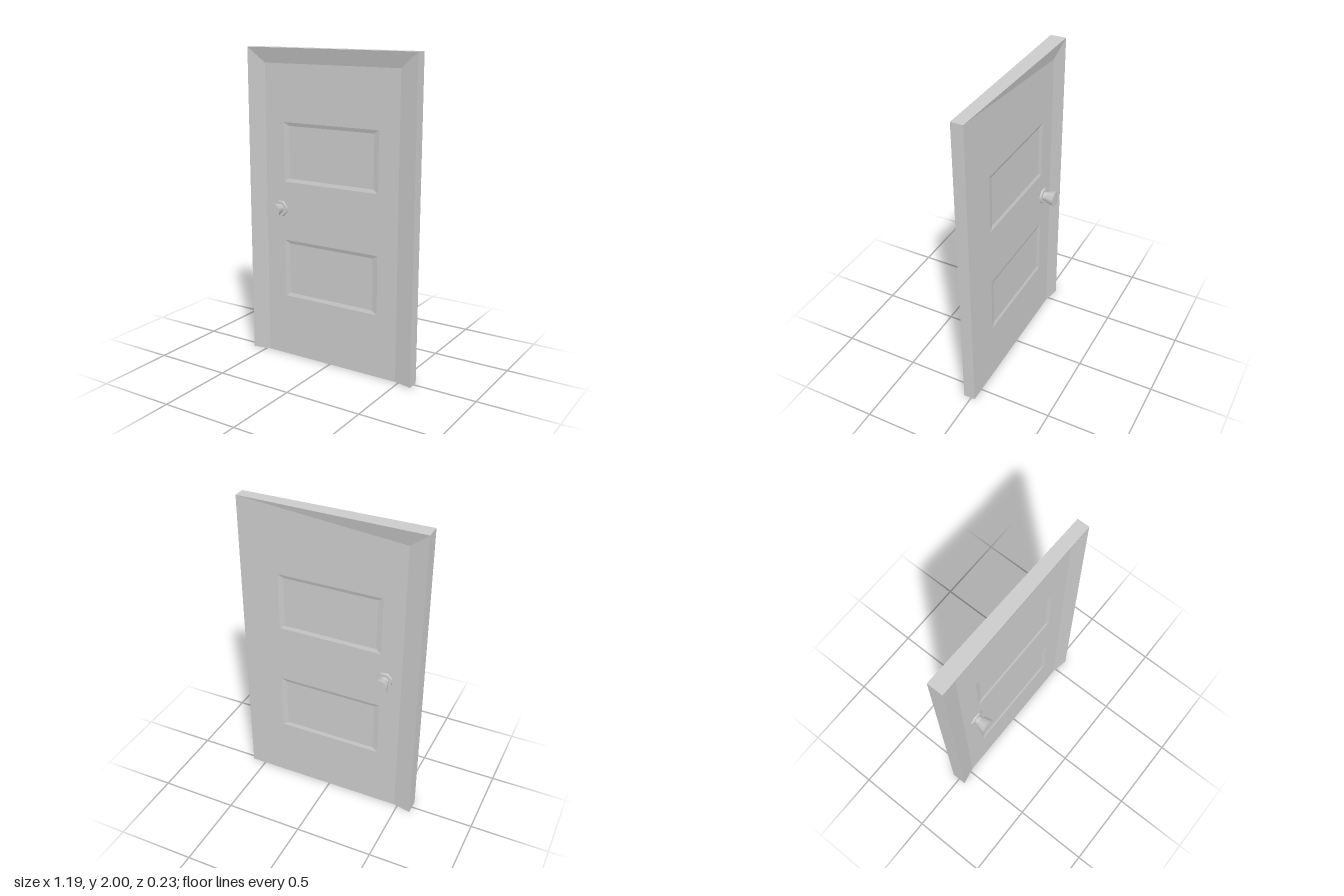
import * as THREE from 'three';

const W = 0.593, H = 2;            // half width and height of the door
const RIM = 0.05, FACE = 0.026;    // depth of the raised rim and of the recessed face
const BEVEL_X = 0.477, BEVEL_Y = 1.905;
const PANEL = { x: 0.34, h: 0.378, inX: 0.035, inY: 0.022, depth: 0.007, bottoms: [0.407, 1.167] };

const mat = new THREE.MeshStandardMaterial({ color: 0xcccccc });
const polygon = pts => new THREE.Shape(pts.map(p => new THREE.Vector2(p[0], p[1])));

function add(parent, name, geometry) {
  const mesh = new THREE.Mesh(geometry, mat);
  mesh.name = name;
  parent.add(mesh);
  return mesh;
}

// Flat-shaded quads, corners counter-clockwise seen from outside
function quads(list) {
  const pos = [];
  for (const [a, b, c, d] of list) pos.push(...a, ...b, ...c, ...a, ...c, ...d);
  const g = new THREE.BufferGeometry();
  g.setAttribute('position', new THREE.Float32BufferAttribute(pos, 3));
  g.computeVertexNormals();
  return g;
}

const rect = (x, y0, y1, z) => [[-x, y0, z], [x, y0, z], [x, y1, z], [-x, y1, z]];

// One face of the door, facing +z; the left rim may run flush into the face
function doorFace(name, flushLeft) {
  const face = new THREE.Group();
  face.name = name;
  const [ax, ay, az] = flushLeft ? [-W, H, FACE] : [-BEVEL_X, BEVEL_Y, RIM];

  // Recessed surface with two panel openings
  const shape = polygon([[ax, 0], [BEVEL_X, 0], [BEVEL_X, BEVEL_Y], [ax, ay]]);
  if (flushLeft) shape.autoClose = true;
  const { x, h, inX, inY, depth, bottoms } = PANEL;
  for (const y of bottoms) shape.holes.push(polygon(rect(x, y, y + h, 0).reverse()));
  add(face, 'faceSurface', new THREE.ShapeGeometry(shape).translate(0, 0, FACE));

  // Sloping rim along the top and sides
  const a = [ax, ay, FACE], b = [BEVEL_X, BEVEL_Y, FACE];
  const topL = [-W, H, az], topR = [W, H, RIM];
  const rim = [
    [b, topR, topL, a],
    [[BEVEL_X, 0, FACE], [W, 0, RIM], topR, b],
  ];
  if (!flushLeft) rim.push([[-W, 0, RIM], [ax, 0, FACE], a, topL]);
  add(face, 'bevelledRim', quads(rim));

  // Sunken panels with sloping borders
  for (const y of bottoms) {
    const o = rect(x, y, y + h, FACE);
    const i = rect(x - inX, y + inY, y + h - inY, FACE - depth);
    const list = o.map((p, k) => [p, o[(k + 1) % 4], i[(k + 1) % 4], i[k]]);
    add(face, 'sunkenPanel', quads([...list, i]));
  }
  return face;
}

// Eight-sided knob pointing along +z
function knob(name) {
  const g = new THREE.Group();
  g.name = name;
  const k = 1 / Math.cos(Math.PI / 8);
  const ring = (part, rBack, rFront, z0, z1) => add(g, part,
    new THREE.CylinderGeometry(rFront * k, rBack * k, z1 - z0, 8, 1, false, Math.PI / 8)
      .rotateX(Math.PI / 2).translate(-0.37, 0.99, (z0 + z1) / 2));
  ring('knobPlate', 0.05, 0.046, FACE - 0.004, 0.037);
  ring('knobNeck', 0.028, 0.028, 0.03, 0.064);
  ring('knobHead', 0.035, 0.049, 0.062, 0.116);
  return g;
}

export function createModel() {
  const door = new THREE.Group();
  door.name = 'door';

  door.add(doorFace('frontFace', false));
  const back = doorFace('backFace', true);
  back.rotation.y = Math.PI;
  door.add(back);

  // Edges of the slab
  add(door, 'sideEdges', quads([
    [[W, 0, RIM], [W, 0, -FACE], [W, H, -FACE], [W, H, RIM]],
    [[-W, 0, -RIM], [-W, 0, RIM], [-W, H, RIM], [-W, H, -RIM]],
  ]));
  add(door, 'topEdge', quads([
    [[-W, H, RIM], [W, H, RIM], [W, H, -FACE], [-W, H, -RIM]],
  ]));
  add(door, 'bottomEdge', new THREE.ShapeGeometry(polygon([
    [-W, -RIM], [-BEVEL_X, -FACE], [W, -FACE], [W, RIM],
    [BEVEL_X, FACE], [-BEVEL_X, FACE], [-W, RIM],
  ])).rotateX(Math.PI / 2));

  // Knobs on both sides
  door.add(knob('frontKnob'));
  const backKnob = knob('backKnob');
  backKnob.rotation.y = Math.PI;
  backKnob.position.x = -0.74;
  door.add(backKnob);
  return door;
}
